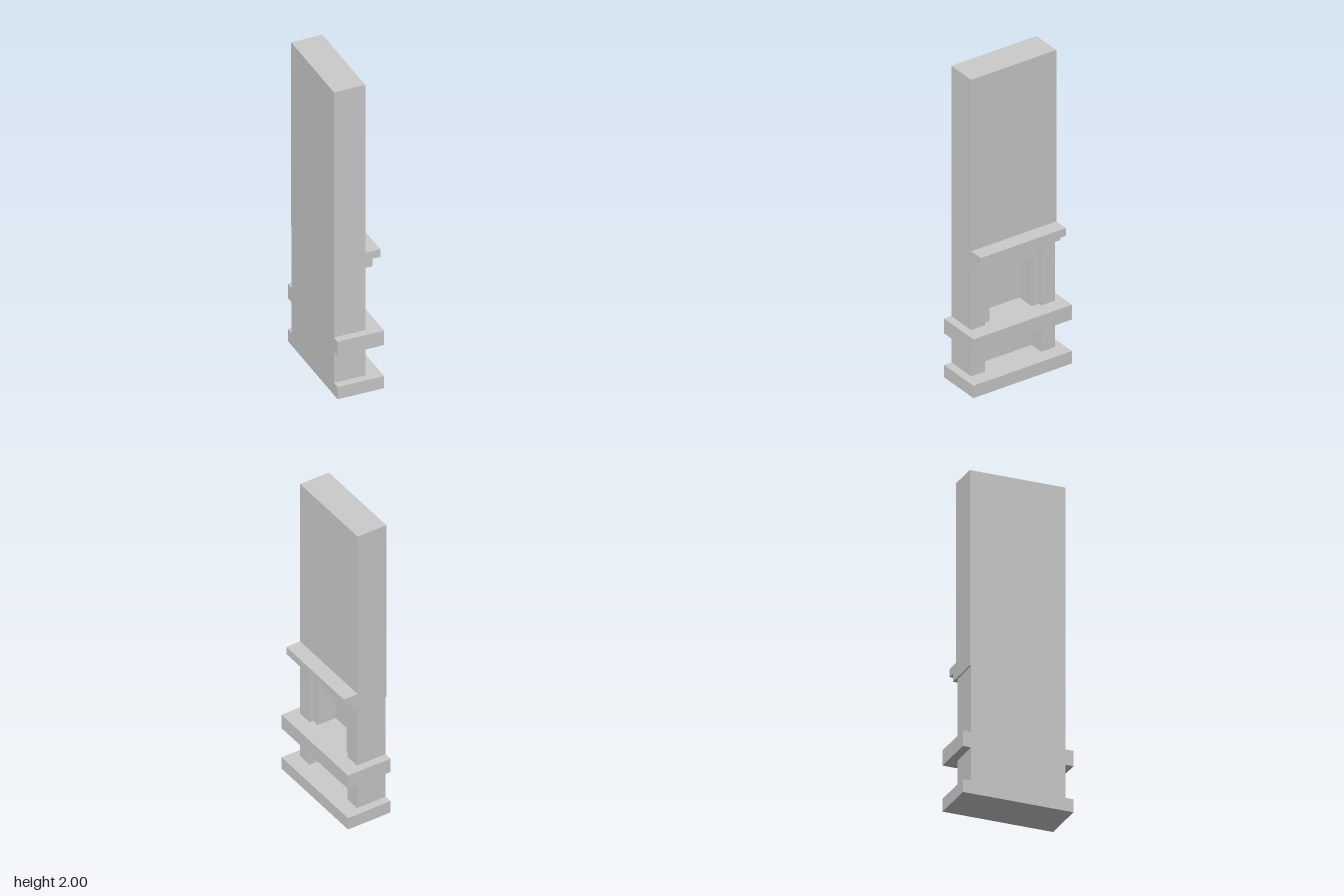
import * as THREE from 'three';

const material = new THREE.MeshStandardMaterial({ color: 0xcccccc, flatShading: true });

const BACK = -0.143, FACE = 0.05, FRONT = 0.143; // depth runs along x
const HALF = 0.288, SLAB = 0.338;                // half widths along z
const BASE_TOP = 0.08, HEARTH_BOTTOM = 0.285, HEARTH_TOP = 0.38, BREAST_BOTTOM = 0.79;

// Box given by its limits on each axis
function block(name, [x0, x1], [y0, y1], [z0, z1]) {
  const mesh = new THREE.Mesh(new THREE.BoxGeometry(x1 - x0, y1 - y0, z1 - z0), material);
  mesh.position.set((x0 + x1) / 2, (y0 + y1) / 2, (z0 + z1) / 2);
  mesh.name = name;
  return mesh;
}

// Upright arch in the z-y plane, open at the bottom, spanning x0 to x1
function arch(name, [x0, x1], halfOpening, openingTop) {
  const points = [
    [-HALF, HEARTH_TOP], [-halfOpening, HEARTH_TOP], [-halfOpening, openingTop],
    [halfOpening, openingTop], [halfOpening, HEARTH_TOP], [HALF, HEARTH_TOP],
    [HALF, BREAST_BOTTOM], [-HALF, BREAST_BOTTOM],
  ].map(([z, y]) => new THREE.Vector2(-z, y));
  const geometry = new THREE.ExtrudeGeometry(new THREE.Shape(points), { depth: x1 - x0, bevelEnabled: false });
  geometry.rotateY(Math.PI / 2); // extrusion direction becomes +x
  geometry.translate(x0, 0, 0);
  const mesh = new THREE.Mesh(geometry, material);
  mesh.name = name;
  return mesh;
}

export function createModel() {
  const fireplace = new THREE.Group();
  fireplace.name = 'fireplace';

  // Base and raised hearth slabs
  fireplace.add(
    block('baseSlab', [BACK, FRONT], [0, BASE_TOP], [-SLAB, SLAB]),
    block('hearthSlab', [BACK, FRONT], [HEARTH_BOTTOM, HEARTH_TOP], [-SLAB, SLAB]),
  );

  // Log store below the hearth: two posts and a back wall
  const store = [BASE_TOP, HEARTH_BOTTOM];
  fireplace.add(
    block('leftPost', [BACK, FACE], store, [-HALF, -0.193]),
    block('rightPost', [BACK, FACE], store, [0.193, HALF]),
    block('storeBackWall', [BACK, -0.045], store, [-0.193, 0.193]),
  );

  // Firebox: back wall, inner arch and stepped outer arch
  fireplace.add(
    block('fireboxBackWall', [BACK, -0.094], [HEARTH_TOP, BREAST_BOTTOM], [-HALF, HALF]),
    arch('innerSurround', [-0.094, 0.025], 0.145, 0.69),
    arch('outerSurround', [0.025, FACE], 0.193, 0.74),
  );

  // Chimney breast, slightly wider on one side, with a stepped mantel
  const breastWidth = [-0.296, HALF];
  fireplace.add(
    block('chimneyBreast', [BACK, FACE], [BREAST_BOTTOM, 2], breastWidth),
    block('mantelMoulding', [FACE, 0.093], [BREAST_BOTTOM, 0.84], breastWidth),
    block('mantelShelf', [FACE, FRONT], [0.84, 0.89], breastWidth),
  );

  return fireplace;
}
